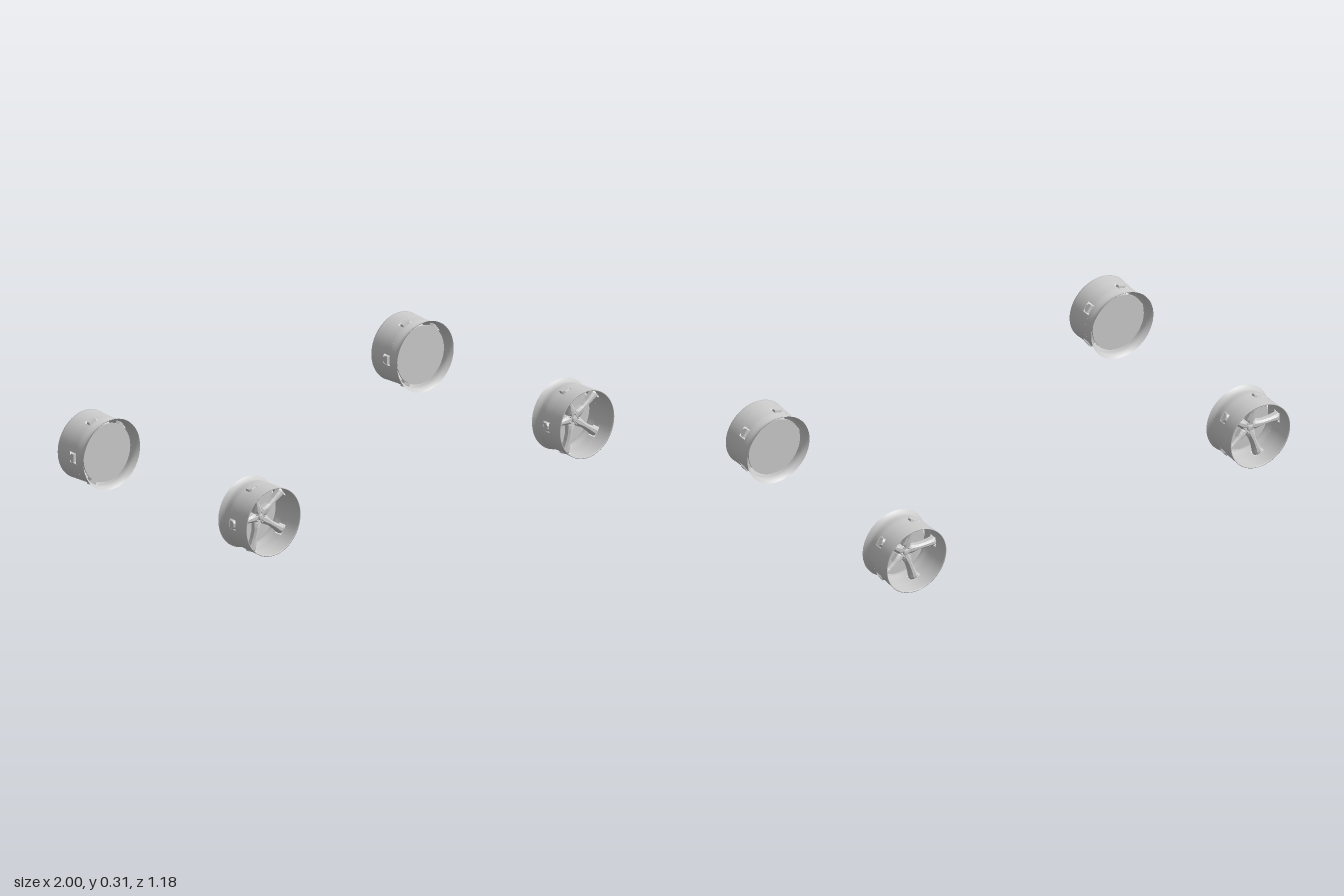
import * as THREE from 'three';

const mat = new THREE.MeshStandardMaterial({ color: 0xcccccc, side: THREE.DoubleSide });
const flat = new THREE.MeshStandardMaterial({ color: 0xcccccc, flatShading: true });
const STEP = Math.PI * 2 / 5;
const FIRST = Math.PI / 5; // angle of the first spoke

function add(group, name, geometry, material = mat) {
  const mesh = new THREE.Mesh(geometry, material);
  mesh.name = name;
  group.add(mesh);
  return mesh;
}

// Profile [radius, depth] spun round the wheel axis (local z)
function spin(profile, segments, start = 0, length = Math.PI * 2) {
  const pts = profile.map(([r, z]) => new THREE.Vector2(r, z));
  return new THREE.LatheGeometry(pts, segments, start + Math.PI / 2, length).rotateX(Math.PI / 2);
}

// Spoke lofted along +x from [radius, half width, back, front] sections
function spokeGeometry() {
  const sections = [
    [0.010, 0.012, -0.020, 0.004], [0.030, 0.019, -0.020, 0.007],
    [0.045, 0.016, -0.019, 0.009], [0.065, 0.012, -0.017, 0.010],
    [0.095, 0.012, -0.016, 0.011], [0.120, 0.015, -0.016, 0.012],
    [0.138, 0.018, -0.016, 0.012], [0.148, 0.018, -0.015, 0.008],
  ];
  const pos = [], index = [], n = 6;
  for (const [r, w, b, f] of sections) {
    pos.push(r, -w, b, r, w, b, r, w, f - 0.008, r, 0.4 * w, f, r, -0.4 * w, f, r, -w, f - 0.008);
  }
  for (let i = 0; i < sections.length - 1; i++) {
    for (let k = 0; k < n; k++) {
      const a = i * n + k, b = i * n + (k + 1) % n;
      index.push(a, b, b + n, a, b + n, a + n);
    }
  }
  const end = (sections.length - 1) * n;
  for (let k = 1; k < n - 1; k++) index.push(end, end + k, end + k + 1);
  const indexed = new THREE.BufferGeometry();
  indexed.setAttribute('position', new THREE.Float32BufferAttribute(pos, 3));
  indexed.setIndex(index);
  const g = indexed.toNonIndexed();
  g.computeVertexNormals();
  return g;
}

// One wheel, spoked side facing local +z
function createWheel() {
  const wheel = new THREE.Group();

  // Barrel: flared inner lip, a band with five windows, straight outer part
  add(wheel, 'innerBarrel', spin([
    [0.153, -0.083], [0.149, -0.079], [0.145, -0.073], [0.141, -0.066], [0.139, -0.058],
    [0.140, -0.048], [0.142, -0.036], [0.143, -0.024],
  ], 60));
  add(wheel, 'outerBarrel', spin([
    [0.1435, 0.013], [0.145, 0.045], [0.1455, 0.080], [0.147, 0.085], [0.1435, 0.085], [0.1435, 0.080],
  ], 60));
  const half = 0.16; // half angle of a window
  const spoke = spokeGeometry();
  const nut = new THREE.CylinderGeometry(0.0035, 0.0045, 0.01, 6).rotateX(Math.PI / 2);
  for (let i = 0; i < 5; i++) {
    const angle = FIRST + i * STEP;
    add(wheel, 'windowPillar', spin([[0.143, -0.024], [0.1435, 0.013]], 10, angle + half, STEP - 2 * half));
    add(wheel, 'spoke', spoke, flat).rotation.z = angle;
    const mid = angle + STEP / 2;
    add(wheel, 'wheelNut', nut, flat).position.set(0.022 * Math.cos(mid), 0.022 * Math.sin(mid), 0.005);
  }

  // Hub with a small centre cap
  add(wheel, 'hub', spin([
    [0, -0.022], [0.030, -0.022], [0.032, -0.018], [0.030, 0], [0.013, 0.003],
  ], 30));
  add(wheel, 'hubCap', spin([[0.013, 0.001], [0.012, 0.010], [0.009, 0.012], [0, 0.012]], 24));

  // Flat disc closing the inner side, clear of the barrel
  add(wheel, 'backDisc', new THREE.CylinderGeometry(0.126, 0.126, 0.006, 48).rotateX(Math.PI / 2)).position.z = -0.05;
  return wheel;
}

export function createModel() {
  const model = new THREE.Group();
  model.name = 'wheelSet';
  for (const x of [1, -1]) {
    for (const z of [1, -1]) {
      const wheel = createWheel();
      wheel.name = (z > 0 ? 'front' : 'back') + (x > 0 ? 'Left' : 'Right') + 'Wheel';
      wheel.position.set(x * 0.847, 0.153, z * 0.505);
      if (z < 0) wheel.rotation.set(0, Math.PI, Math.PI); // spokes face outward
      model.add(wheel);
    }
  }
  return model;
}
